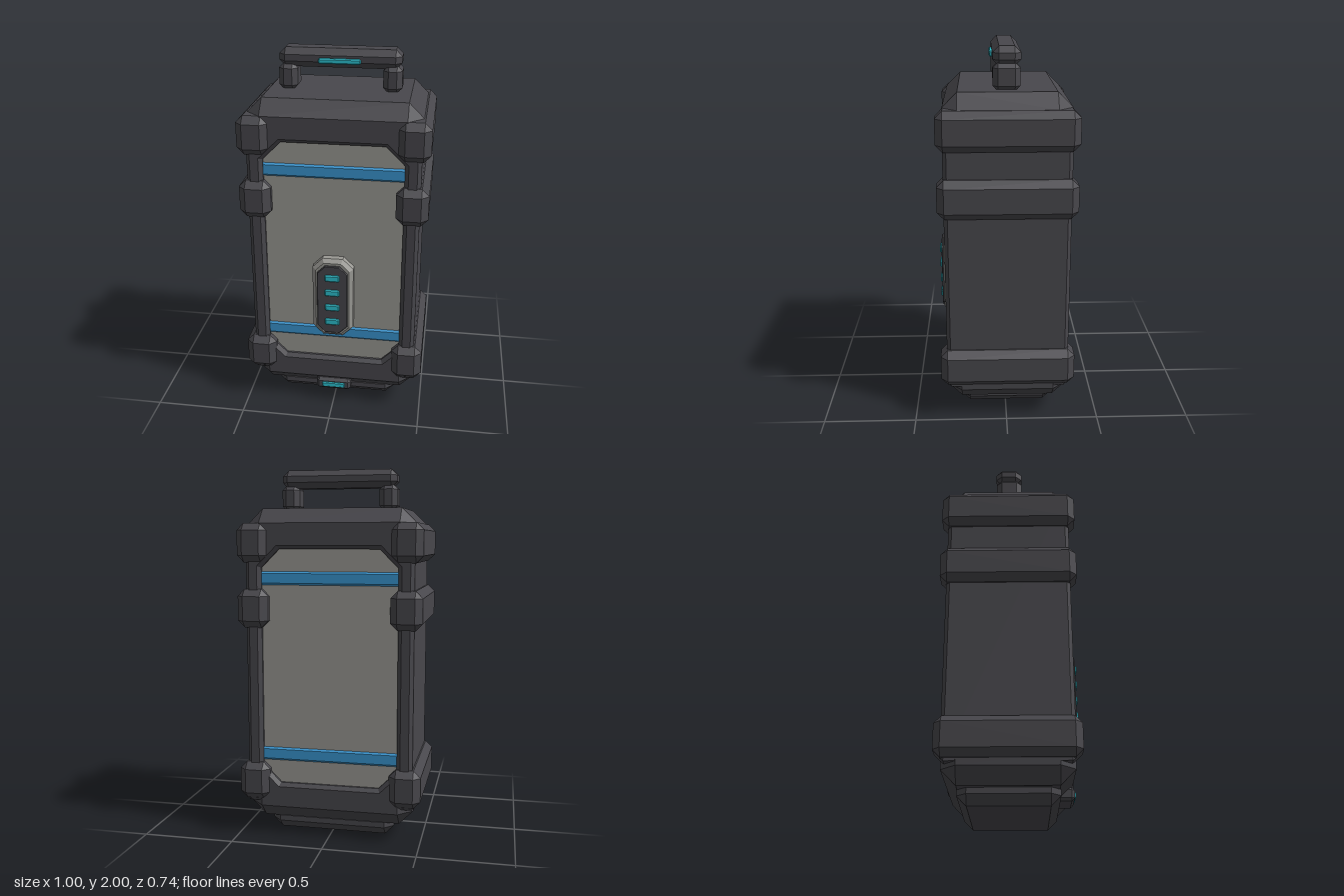
import * as THREE from 'three';
import { ConvexGeometry } from 'three/addons/geometries/ConvexGeometry.js';

const mat = (name, color) => {
  const m = new THREE.MeshStandardMaterial({ color });
  m.name = name;
  return m;
};

// Box between two corners with every edge cut by c
function chamferBox([x0, y0, z0], [x1, y1, z1], c) {
  const h = [(x1 - x0) / 2, (y1 - y0) / 2, (z1 - z0) / 2];
  const pts = [];
  for (const sx of [-1, 1]) for (const sy of [-1, 1]) for (const sz of [-1, 1])
    for (let full = 0; full < 3; full++) {
      const p = h.map((v, i) => (i === full ? v : v - c));
      pts.push(new THREE.Vector3(sx * p[0], sy * p[1], sz * p[2]));
    }
  return new ConvexGeometry(pts).translate((x0 + x1) / 2, (y0 + y1) / 2, (z0 + z1) / 2);
}

// Corner points of a rectangle with cut corners
function octagon(w, y0, y1, c) {
  return [[-w + c, y0], [w - c, y0], [w, y0 + c], [w, y1 - c], [w - c, y1],
    [-w + c, y1], [-w, y1 - c], [-w, y0 + c]].map(([x, y]) => new THREE.Vector2(x, y));
}

// Bevelled slab from z0 to z1; the bevel grows outward from the given outline
function slab(shape, z0, z1, bevel) {
  return new THREE.ExtrudeGeometry(shape, {
    depth: z1 - z0 - 2 * bevel, bevelEnabled: true, bevelSegments: 1,
    bevelSize: bevel, bevelThickness: bevel,
  }).translate(0, 0, z0 + bevel);
}

export function createModel() {
  const model = new THREE.Group();
  const dark = mat('charcoal', 0x48474c);
  const grey = mat('panelGrey', 0x9a9994);
  const blue = mat('stripeBlue', 0x3a97d2);
  const cyan = mat('lightCyan', 0x2cc3d2);
  const add = (name, geometry, material) => {
    const mesh = new THREE.Mesh(geometry, material);
    mesh.name = name;
    model.add(mesh);
  };
  const back = -0.337, front = 0.322;

  // Outer frame, open at front and back
  const outline = new THREE.Shape([[-0.435, 0.2], [0.435, 0.2], [0.435, 1.68], [-0.435, 1.68]]
    .map(([x, y]) => new THREE.Vector2(x, y)));
  outline.holes.push(new THREE.Path(octagon(0.39, 0.27, 1.59, 0.11).reverse()));
  add('frame', slab(outline, back, front, 0.02), dark);

  // Inner core that shows as the front and back panels
  add('panels', new THREE.BoxGeometry(0.8, 1.36, 0.595).translate(0, 0.93, -0.0075), grey);

  // Lid, base and foot
  add('lid', chamferBox([-0.454, 1.57, back], [0.454, 1.785, front], 0.078), dark);
  add('base', chamferBox([-0.456, 0.08, back], [0.456, 0.3, front], 0.078), dark);
  add('foot', chamferBox([-0.345, 0, -0.262], [0.345, 0.13, 0.25], 0.05), dark);

  // Stripes round the core
  for (const y of [1.415, 0.45])
    add('stripe', chamferBox([-0.385, y - 0.036, -0.315], [0.385, y + 0.036, 0.3], 0.01), blue);

  // Protective bands along both sides
  for (const side of [-1, 1]) for (const y of [1.603, 1.253, 0.3]) {
    const xs = [0.33 * side, 0.5 * side].sort((a, b) => a - b);
    add('sideBand', chamferBox([xs[0], y - 0.104, -0.37], [xs[1], y + 0.104, 0.355], 0.038), dark);
  }

  // Carrying handle
  add('handleBar', chamferBox([-0.322, 1.9, -0.08], [0.322, 2, 0.066], 0.033), dark);
  for (const x of [-0.275, 0.275])
    add('handlePost', chamferBox([x - 0.05, 1.775, -0.076], [x + 0.05, 1.92, 0.066], 0.028), dark);
  add('handleLight', chamferBox([-0.11, 1.926, 0.05], [0.11, 1.954, 0.081], 0.006), cyan);

  // Control pod with four lights
  add('podHousing', slab(new THREE.Shape(octagon(0.092, 0.472, 0.91, 0.045)), 0.265, 0.345, 0.02), grey);
  add('podFace', slab(new THREE.Shape(octagon(0.08, 0.485, 0.893, 0.042)), 0.335, 0.356, 0.004), dark);
  for (const y of [0.555, 0.645, 0.737, 0.827])
    add('podLight', chamferBox([-0.04, y - 0.019, 0.345], [0.04, y + 0.019, 0.367], 0.006), cyan);

  // Clasp on the base
  add('clasp', chamferBox([-0.1, 0.073, 0.23], [0.1, 0.145, 0.33], 0.016), dark);
  add('claspLight', chamferBox([-0.065, 0.094, 0.31], [0.065, 0.125, 0.337], 0.005), cyan);

  return model;
}
